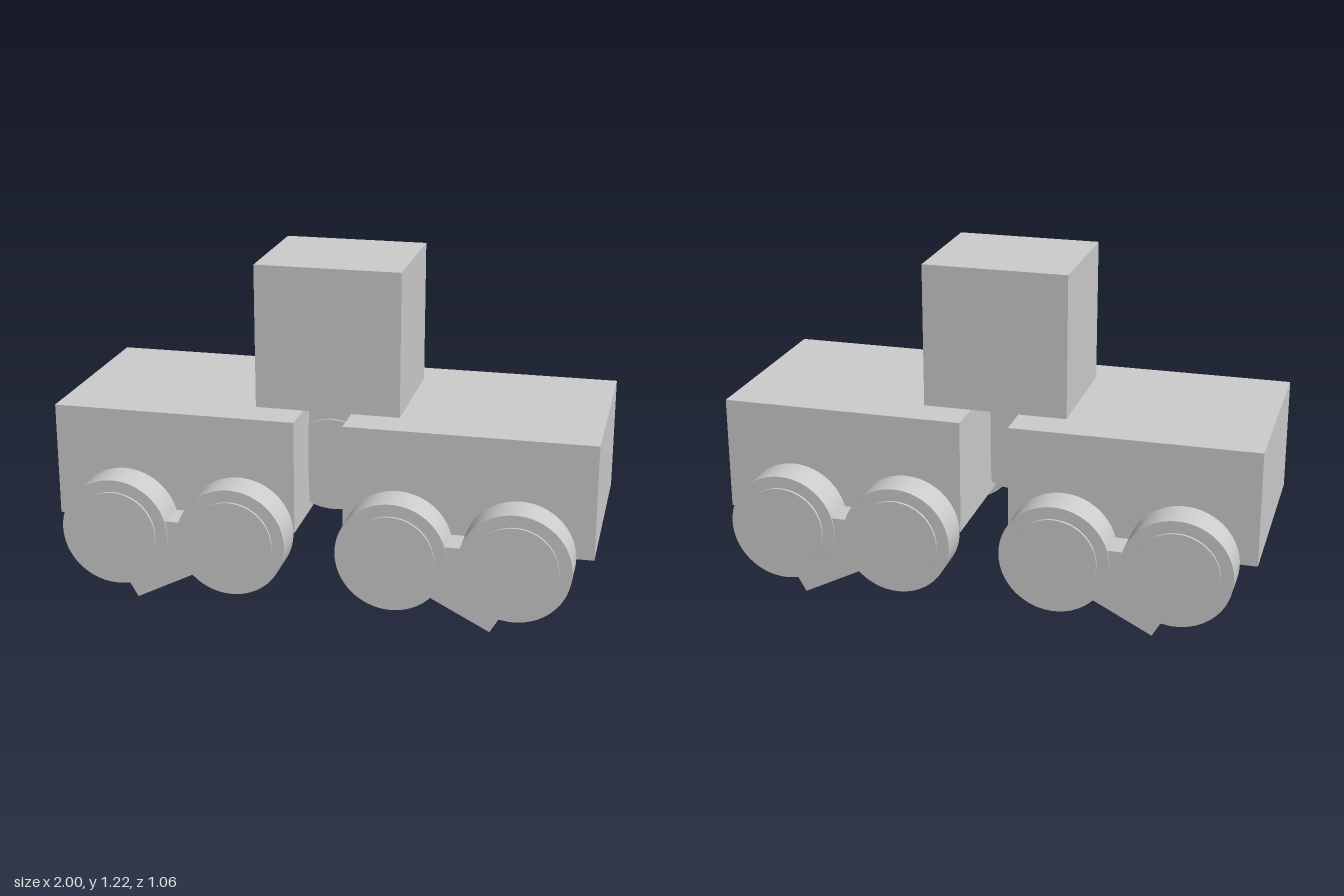
import * as THREE from 'three';

const grey = new THREE.MeshStandardMaterial({ color: 0xcccccc });
grey.name = 'plain grey';

function add(parent, name, geometry, x, y, z) {
  const mesh = new THREE.Mesh(geometry, grey);
  mesh.name = name;
  mesh.position.set(x, y, z);
  parent.add(mesh);
  return mesh;
}

// Wheel along z: a tyre with a slightly raised disc on each side
function addWheel(parent, name, x, y, z) {
  const wheel = new THREE.Group();
  wheel.name = name;
  wheel.position.set(x, y, z);
  const tyre = new THREE.CylinderGeometry(0.202, 0.202, 0.134, 64).rotateX(Math.PI / 2);
  const hub = new THREE.CylinderGeometry(0.157, 0.157, 0.152, 64).rotateX(Math.PI / 2);
  add(wheel, 'tyre', tyre, 0, 0, 0);
  add(wheel, 'hub', hub, 0, 0, 0);
  parent.add(wheel);
}

// Link plate between two wheels, with its slanted foot pointing outwards (for +x side)
function linkGeometry(side) {
  const points = [
    [0.655, 0.005], [0.685, 0.057], [0.72, 0.057], [0.7, 0.2], [0.56, 0.315],
    [0.47, 0.315], [0.33, 0.2], [0.44, 0.115],
  ].map(([x, y]) => new THREE.Vector2(x * side, y));
  return new THREE.ExtrudeGeometry(new THREE.Shape(points), { depth: 0.116, bevelEnabled: false })
    .translate(0, 0, -0.058);
}

export function createModel() {
  const model = new THREE.Group();
  model.name = 'eightWheeledCart';

  // Raised cabin bridging the two bodies
  add(model, 'cabin', new THREE.BoxGeometry(0.54, 0.537, 0.48), 0, 0.9535, 0);

  // Wheel held in the gap
  addWheel(model, 'centreWheel', 0, 0.475, 0.09);

  for (const side of [-1, 1]) {
    const half = new THREE.Group();
    half.name = side > 0 ? 'leftHalf' : 'rightHalf';
    model.add(half);
    add(half, 'body', new THREE.BoxGeometry(0.91, 0.427, 0.764), side * 0.545, 0.4715, 0);

    for (const face of [-1, 1]) {
      addWheel(half, 'outerWheel', side * 0.735, 0.257, face * 0.452);
      addWheel(half, 'innerWheel', side * 0.295, 0.257, face * 0.452);
      add(half, 'wheelLink', linkGeometry(side), 0, 0, face * 0.456);

      // Small axle tip showing under the body
      const tip = new THREE.ConeGeometry(0.025, 0.04, 4).rotateX(Math.PI);
      add(half, 'axleTip', tip, side * 0.735, 0.258, face * 0.35);
    }
  }
  return model;
}
